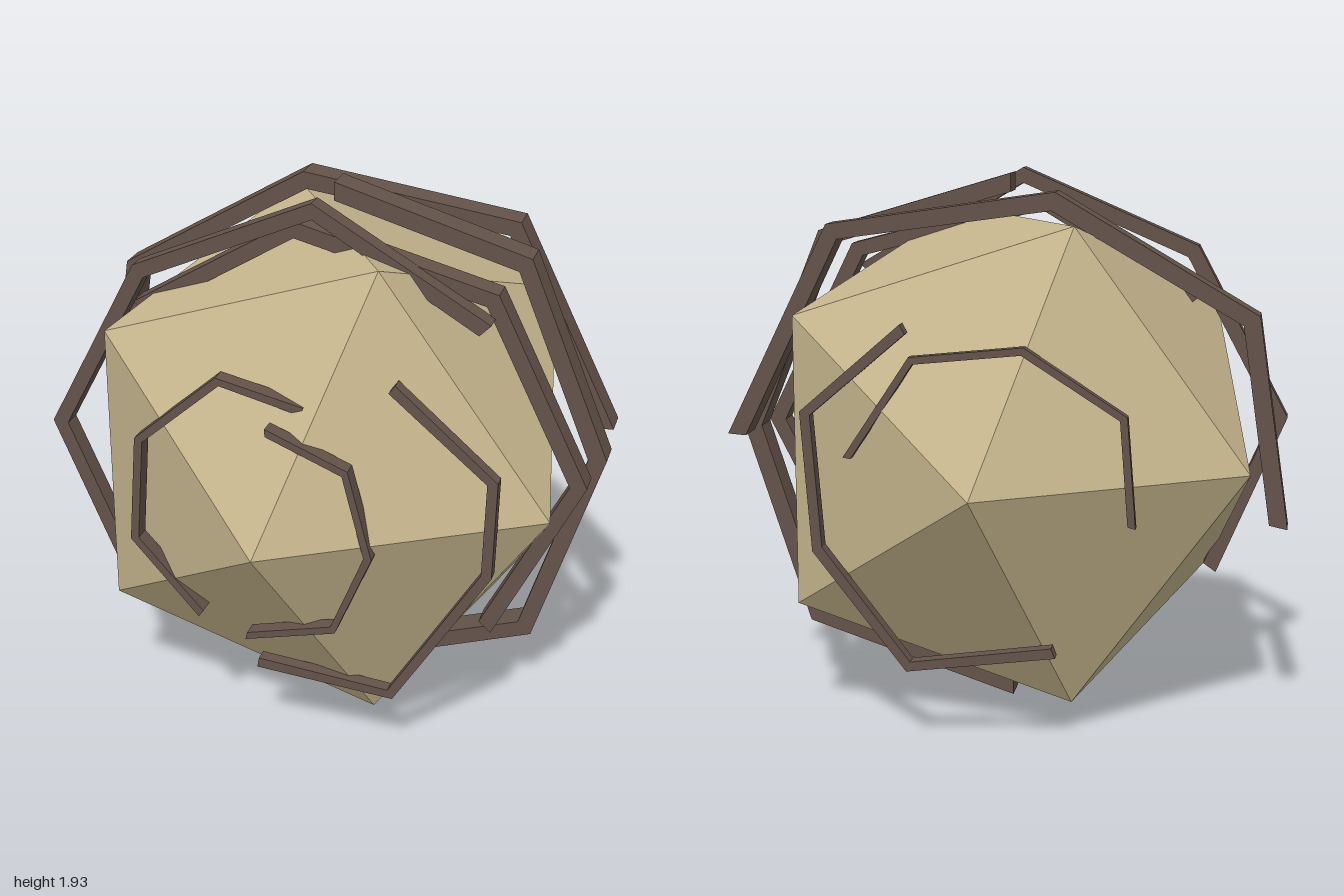
import * as THREE from 'three';
import { ConvexGeometry } from 'three/addons/geometries/ConvexGeometry.js';

const CENTRE_Y = 0.94;

// Icosahedron with its two poles on the z axis
function coreGeometry() {
  const r = 0.975, ring = r * 2 / Math.sqrt(5), z = r / Math.sqrt(5);
  const points = [new THREE.Vector3(0, 0, r), new THREE.Vector3(0, 0, -r)];
  for (let i = 0; i < 5; i++) {
    const a = i * Math.PI * 0.4;
    points.push(new THREE.Vector3(ring * Math.cos(a), ring * Math.sin(a), z));
    points.push(new THREE.Vector3(-ring * Math.cos(a), -ring * Math.sin(a), -z));
  }
  return new ConvexGeometry(points);
}

// Angular band: outer corners in the xy plane, inner corners moved towards the axis
function bandGeometry(corners, thickness, z0, z1) {
  const outer = corners.map(([x, y]) => new THREE.Vector2(x, y - CENTRE_Y));
  const inner = outer.map((p) => p.clone().setLength(p.length() - thickness)).reverse();
  const geometry = new THREE.ExtrudeGeometry(new THREE.Shape([...outer, ...inner]), {
    depth: z1 - z0, bevelEnabled: false,
  });
  return geometry.translate(0, 0, z0);
}

export function createModel() {
  const model = new THREE.Group();
  model.name = 'wrappedPolyhedron';
  const sand = new THREE.MeshStandardMaterial({ color: 0xc4b48c, name: 'sand', flatShading: true });
  const bark = new THREE.MeshStandardMaterial({ color: 0x64534a, name: 'bark', flatShading: true });

  const add = (name, geometry, material) => {
    const mesh = new THREE.Mesh(geometry, material);
    mesh.name = name;
    mesh.position.y = CENTRE_Y;
    model.add(mesh);
  };

  add('core', coreGeometry(), sand);

  // Bands from back to front: z range, radial thickness, outer corners
  const bands = [
    [-0.72, -0.682, 0.027, [[0.465, 1.02], [0.24, 1.36], [-0.14, 1.4], [-0.48, 1.18], [-0.51, 0.81]]],
    [-0.665, -0.615, 0.037, [[0.28, 1.46], [0.625, 1.16], [0.59, 0.68], [0.27, 0.27], [-0.24, 0.34]]],
    [-0.328, -0.218, 0.065, [[-1, 0.73], [-0.89, 1.465], [-0.19, 1.875], [0.61, 1.758], [0.98, 1.01]]],
    [-0.08, 0.03, 0.066, [[0, 1.925], [0.7, 1.715], [0.995, 0.997], [0.756, 0.257], [-0.01, 0.004]]],
    [0.138, 0.232, 0.06, [[-0.68, 1.49], [-0.09, 1.84], [0.63, 1.65], [0.96, 0.98], [0.645, 0.36]]],
    [0.225, 0.297, 0.057, [[0.62, 1.565], [0, 1.93], [-0.65, 1.65], [-0.988, 1.02], [-0.735, 0.42]]],
    [0.538, 0.587, 0.037, [[0.37, 1.44], [0.72, 1.135], [0.71, 0.78], [0.375, 0.25], [-0.12, 0.295]]],
    [0.63, 0.69, 0.03, [[0.09, 1.37], [-0.21, 1.44], [-0.505, 1.185], [-0.535, 0.8], [-0.295, 0.53]]],
    [0.73, 0.787, 0.027, [[-0.01, 1.325], [0.268, 1.21], [0.35, 0.9], [0.225, 0.605], [-0.09, 0.53]]],
  ];
  bands.forEach(([z0, z1, thickness, corners], i) =>
    add(`band${i + 1}`, bandGeometry(corners, thickness, z0, z1), bark));

  return model;
}
